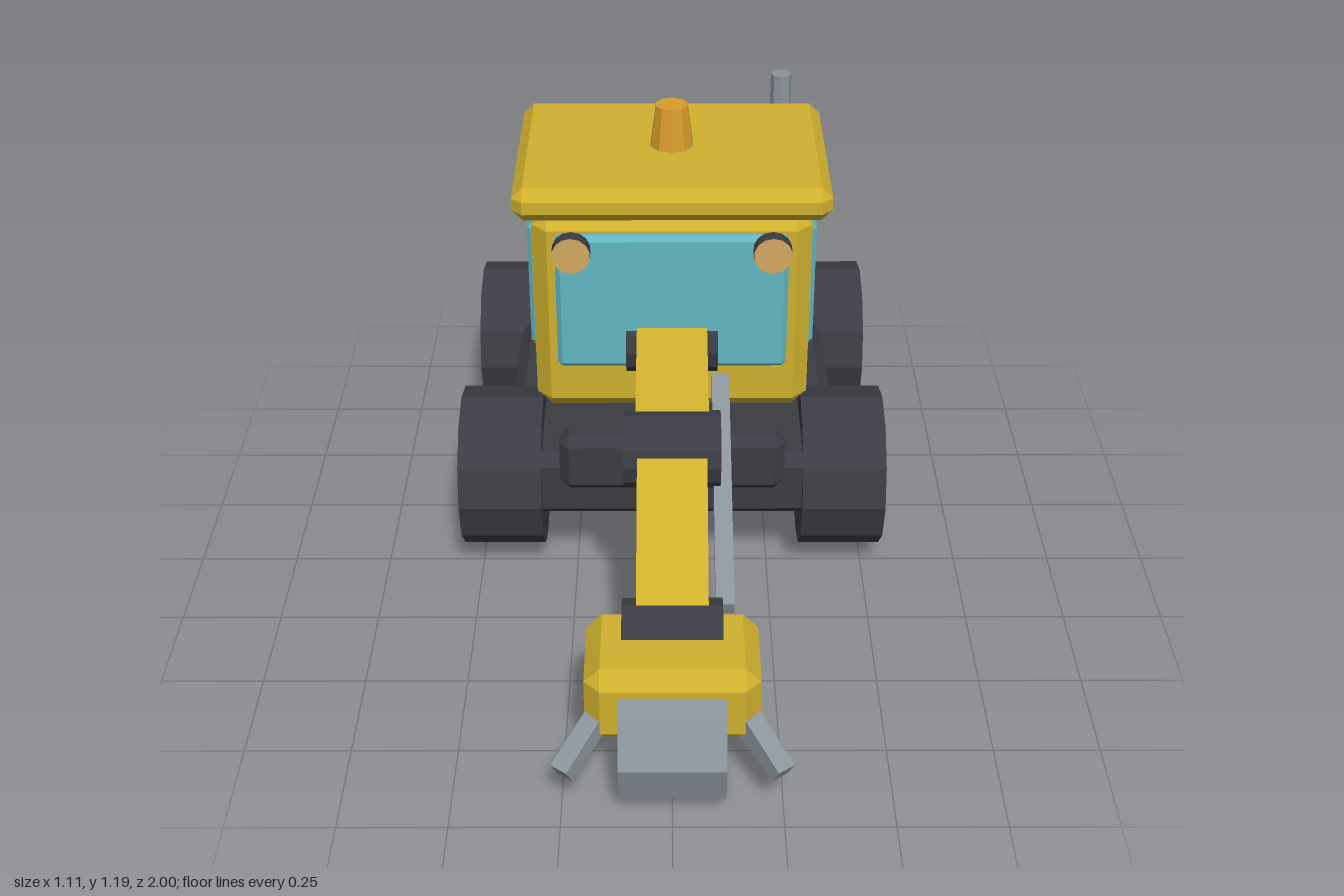
import * as THREE from 'three';
import { ConvexGeometry } from 'three/addons/geometries/ConvexGeometry.js';

function paint(name, color) {
  const m = new THREE.MeshStandardMaterial({ color });
  m.name = name;
  return m;
}

export function createModel() {
  const model = new THREE.Group();
  model.name = 'excavator';
  const yellow = paint('yellow paint', 0xcfb02e);
  const dark = paint('dark rubber', 0x3b3b43);
  const glass = paint('blue glass', 0x62b6c4);
  const steel = paint('grey steel', 0x8b949c);
  const amber = paint('amber', 0xd89c2e);
  const lamp = paint('lamp lens', 0xd3a862);

  function add(name, geometry, material, x = 0, y = 0, z = 0) {
    const mesh = new THREE.Mesh(geometry, material);
    mesh.name = name;
    mesh.position.set(x, y, z);
    model.add(mesh);
    return mesh;
  }

  // Box with chamfered edges, given by its extents
  function chamferBox(name, material, [x0, x1], [y0, y1], [z0, z1], b) {
    const hx = (x1 - x0) / 2, hy = (y1 - y0) / 2, hz = (z1 - z0) / 2;
    const points = [];
    for (const sx of [-1, 1]) for (const sy of [-1, 1]) for (const sz of [-1, 1]) {
      points.push(
        new THREE.Vector3(sx * hx, sy * (hy - b), sz * (hz - b)),
        new THREE.Vector3(sx * (hx - b), sy * hy, sz * (hz - b)),
        new THREE.Vector3(sx * (hx - b), sy * (hy - b), sz * hz));
    }
    return add(name, new ConvexGeometry(points), material, (x0 + x1) / 2, (y0 + y1) / 2, (z0 + z1) / 2);
  }

  // Faceted cylinder, standing upright
  function facetCylinder(rTop, rBottom, length, sides) {
    const g = new THREE.CylinderGeometry(rTop, rBottom, length, sides).toNonIndexed();
    g.computeVertexNormals();
    return g;
  }
  const axle = (r, length, sides) => facetCylinder(r, r, length, sides).rotateZ(Math.PI / 2);

  // Square bar running between two points
  function bar(name, material, from, to, width, height) {
    const a = new THREE.Vector3(...from), b = new THREE.Vector3(...to);
    const mesh = add(name, new THREE.BoxGeometry(width, height, a.distanceTo(b)), material);
    mesh.position.copy(a).lerp(b, 0.5);
    mesh.lookAt(b);
    return mesh;
  }

  // Chassis and bodywork
  chamferBox('chassis', dark, [-0.425, 0.425], [0.19, 0.375], [-0.965, 0.08], 0.03);
  chamferBox('frontBumper', dark, [-0.285, 0.285], [0.285, 0.445], [0.02, 0.105], 0.025);
  chamferBox('engineHood', yellow, [-0.385, 0.385], [0.32, 0.67], [-0.925, -0.46], 0.045);
  chamferBox('cab', yellow, [-0.345, 0.345], [0.445, 0.997], [-0.508, -0.035], 0.038);
  chamferBox('roof', yellow, [-0.387, 0.387], [0.997, 1.083], [-0.555, 0.007], 0.027);

  // Windows
  chamferBox('windscreen', glass, [-0.287, 0.287], [0.585, 0.952], [-0.055, -0.015], 0.012);
  for (const s of [-1, 1]) {
    const x = [0.33 * s, 0.358 * s].sort((a, b) => a - b);
    chamferBox('sideWindow', glass, x, [0.607, 0.945], [-0.433, -0.096], 0.01);
  }

  // Beacon and exhaust
  add('beacon', facetCylinder(0.041, 0.056, 0.11, 10), amber, 0, 1.135, -0.275);
  add('exhaust', facetCylinder(0.028, 0.035, 0.46, 8), steel, 0.3, 0.83, -0.79);

  // Headlights, wheels and hubs
  for (const s of [-1, 1]) {
    const light = facetCylinder(0.047, 0.047, 0.037, 14).rotateX(Math.PI / 2);
    add('headlight', light, [dark, lamp, lamp], 0.243 * s, 0.938, 0.037);
    for (const z of [-0.09, -0.793]) {
      add('wheel', axle(0.207, 0.212, 12), dark, 0.439 * s, 0.244, z);
      add('hub', axle(0.075, 0.233, 12), yellow, 0.4365 * s, 0.244, z);
    }
  }

  // Arm: two beams with three knuckles, pushed by a rod
  const joints = [[0, 0.638, -0.085], [0, 0.56, 0.315], [0, 0.293, 0.688]];
  joints.forEach((p, i) => {
    add('knuckle', axle(i === 2 ? 0.086 : 0.091, 0.23, 12), [dark, yellow, yellow], ...p);
  });
  bar('boom', yellow, joints[0], joints[1], 0.175, 0.15);
  bar('stick', yellow, joints[1], joints[2], 0.165, 0.14);
  bar('hydraulicRod', steel, [0.123, 0.546, -0.07], [0.123, 0.294, 0.592], 0.044, 0.04);

  // Tool head with drum and two prongs
  chamferBox('toolHead', yellow, [-0.197, 0.197], [0.145, 0.338], [0.633, 0.897], 0.036);
  add('drum', axle(0.15, 0.24, 8).rotateX(-0.087), steel, 0, 0.15, 0.85);
  for (const s of [-1, 1]) {
    bar('prong', steel, [0.165 * s, 0.205, 0.86], [0.245 * s, 0.13, 0.967], 0.045, 0.045);
  }

  return model;
}
